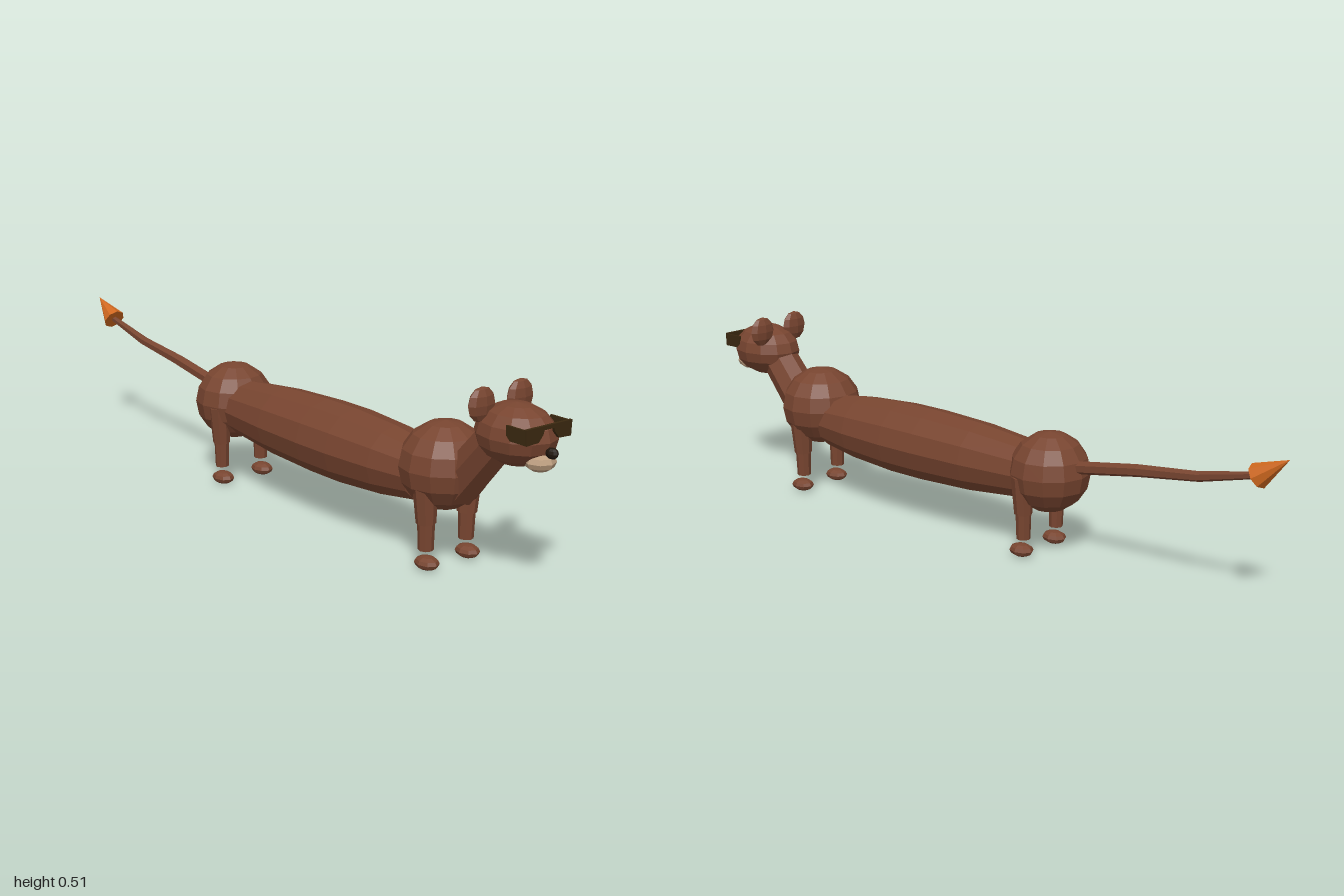
import * as THREE from 'three';

const material = (name, color) => {
  const m = new THREE.MeshStandardMaterial({ color, flatShading: true });
  m.name = name;
  return m;
};

export function createModel() {
  const brown = material('brown fur', 0x784530);
  const orange = material('orange tip', 0xcf681f);
  const dark = material('dark glasses', 0x3a2810);
  const cream = material('cream muzzle', 0xbb9c7d);
  const black = material('black nose', 0x21160d);

  const model = new THREE.Group();
  model.name = 'longAnimal';

  const add = (name, geometry, mat, x = 0, y = 0, z = 0) => {
    const mesh = new THREE.Mesh(geometry, mat);
    mesh.name = name;
    mesh.position.set(x, y, z);
    model.add(mesh);
    return mesh;
  };
  // Faceted ellipsoid
  const blob = (name, mat, [x, y, z], [rx, ry, rz], w = 12, h = 8) =>
    add(name, new THREE.SphereGeometry(1, w, h).scale(rx, ry, rz), mat, x, y, z);
  // Tapered cylinder from point a to point b
  const limb = (name, mat, a, b, ra, rb, sides = 8) => {
    const from = new THREE.Vector3(...a), to = new THREE.Vector3(...b);
    const dir = to.clone().sub(from);
    const mesh = add(name, new THREE.CylinderGeometry(rb, ra, dir.length(), sides), mat);
    mesh.position.copy(from).add(to).multiplyScalar(0.5);
    mesh.quaternion.setFromUnitVectors(new THREE.Vector3(0, 1, 0), dir.normalize());
    return mesh;
  };

  // Long barrel body, lathed along z
  const profile = [[0, -0.42], [0.07, -0.41], [0.08, -0.36], [0.098, -0.18], [0.105, 0],
    [0.105, 0.12], [0.095, 0.28], [0.078, 0.4], [0, 0.42]];
  const body = new THREE.LatheGeometry(profile.map(p => new THREE.Vector2(...p)), 12);
  body.rotateX(Math.PI / 2).scale(1.04, 0.99, 1);
  add('body', body, brown, 0, 0.223, 0.16);

  // Shoulders, hips and neck
  blob('shoulders', brown, [0, 0.26, 0.625], [0.12, 0.115, 0.117]);
  blob('hips', brown, [0, 0.233, -0.265], [0.112, 0.111, 0.111]);
  limb('neck', brown, [0, 0.215, 0.67], [0, 0.385, 0.82], 0.06, 0.054, 8);

  // Head, muzzle and nose
  blob('head', brown, [0, 0.397, 0.865], [0.089, 0.077, 0.111], 12, 8);
  blob('muzzle', cream, [0, 0.347, 0.945], [0.04, 0.025, 0.04], 8, 6);
  blob('nose', black, [0, 0.375, 0.982], [0.013, 0.014, 0.018], 8, 6);

  // Glasses: front outline with a dip between the lenses
  const half = [[0, 0.431], [0.016, 0.431], [0.02, 0.42], [0.034, 0.404], [0.074, 0.402], [0.076, 0.441]];
  const outline = [...half, ...half.slice(1).reverse().map(([x, y]) => [-x, y])];
  const frame = new THREE.Shape([...half.map(p => new THREE.Vector2(...p)),
    new THREE.Vector2(0, 0.441),
    ...outline.slice(half.length).map(p => new THREE.Vector2(...p))]);
  add('glassesFront', new THREE.ExtrudeGeometry(frame, { depth: 0.008, bevelEnabled: false }), dark, 0, 0, 0.963);

  for (const s of [-1, 1]) {
    const side = s > 0 ? 'left' : 'right';
    add(side + 'GlassesArm', new THREE.BoxGeometry(0.006, 0.036, 0.06), dark, s * 0.073, 0.421, 0.936);
    blob(side + 'Ear', brown, [s * 0.064, 0.466, 0.812], [0.044, 0.044, 0.019], 8, 6);

    // Legs with feet set apart below them
    for (const [end, z, k] of [['Front', 0.637, 1], ['Back', -0.233, 0.95]]) {
      limb(side + end + 'Thigh', brown, [s * 0.077, 0.23, z], [s * 0.07, 0.123, z], 0.032 * k, 0.026 * k);
      limb(side + end + 'Shin', brown, [s * 0.07, 0.14, z], [s * 0.069, 0.052, z], 0.023 * k, 0.02 * k);
      blob(side + end + 'Foot', brown, [s * 0.07, 0.019, z + 0.006], [0.029, 0.018, 0.036], 8, 6);
    }
  }

  // Segmented tail and pointed tip
  const tail = [[0, 0.258, -0.34, 0.018], [0, 0.294, -0.555, 0.017], [0, 0.317, -0.74, 0.014], [0, 0.358, -0.92, 0.009]];
  for (let i = 0; i < tail.length - 1; i++) {
    const a = tail[i], b = tail[i + 1];
    limb('tailSegment' + (i + 1), brown, a.slice(0, 3), b.slice(0, 3), a[3], b[3], 6);
  }
  limb('tailTip', orange, [0, 0.355, -0.912], [0, 0.412, -0.998], 0.034, 0, 8);

  return model;
}
